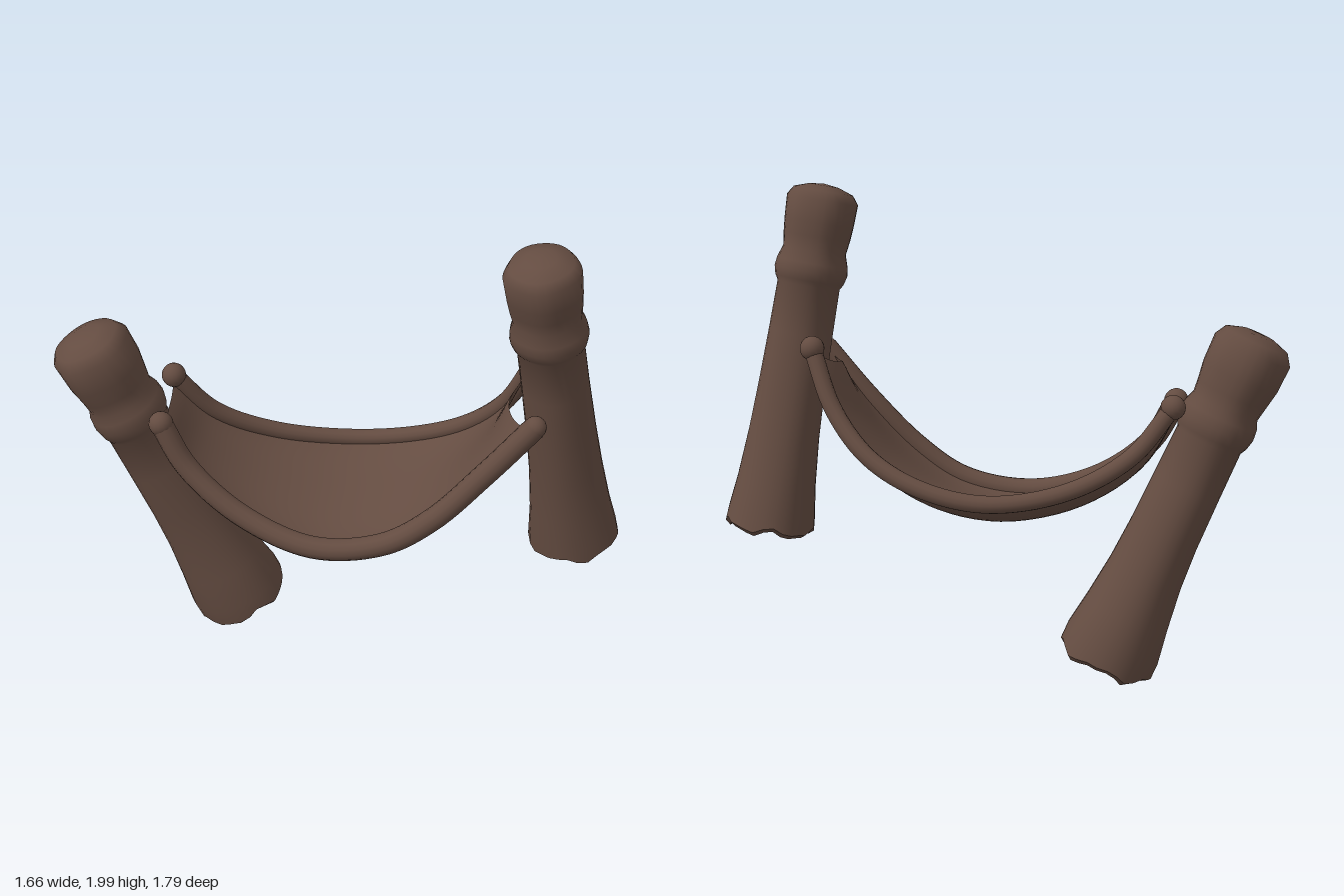
import * as THREE from 'three';
import { toCreasedNormals } from 'three/addons/utils/BufferGeometryUtils.js';
import { ParametricGeometry } from 'three/addons/geometries/ParametricGeometry.js';

const V = (a) => new THREE.Vector3(...a);
const brown = new THREE.MeshStandardMaterial({ color: 0x644c41 });
brown.name = 'darkBrown';

// Leaning post: lathe profile [height fraction, radius] with a ragged, hollow foot
function makePost(name, foot, top, profile, phase) {
  const a = V(foot), b = V(top);
  const length = a.distanceTo(b);
  const r0 = profile[0][1];
  const pts = [[0.032, 0], [0.028, r0 * 0.68], [0.012, r0 * 0.76], [0, r0 * 0.88], ...profile]
    .map(([t, r]) => new THREE.Vector2(r, t * length));
  const geo = new THREE.LatheGeometry(pts, 28);
  const pos = geo.attributes.position;
  for (let i = 0; i < pos.count; i++) {
    const x = pos.getX(i), y = pos.getY(i), z = pos.getZ(i);
    const ang = Math.atan2(z, x);
    const t = y / length;
    // carved, slightly uneven trunk; flutes show on the head
    const flute = t > 0.8 && t < 0.97 ? 0.025 : 0.01;
    const k = 1 + flute * Math.cos(5 * ang + phase) + 0.01 * Math.sin(3 * ang + 7 * t + phase);
    const rag = t < 0.02 ? 0.012 * Math.sin(5 * ang + phase) + 0.007 * Math.sin(9 * ang) : 0;
    pos.setXYZ(i, x * k, y + rag, z * k);
  }
  const mesh = new THREE.Mesh(toCreasedNormals(geo, 0.75), brown);
  mesh.name = name;
  mesh.position.copy(a);
  mesh.quaternion.setFromUnitVectors(new THREE.Vector3(0, 1, 0), b.sub(a).normalize());
  return mesh;
}

// Rolled hem with a rounded knob at both ends
function makeHem(name, curve, radius, knobs) {
  const hem = new THREE.Group();
  hem.name = name;
  const roll = new THREE.Mesh(new THREE.TubeGeometry(curve, 56, radius, 12), brown);
  roll.name = 'roll';
  hem.add(roll);
  knobs.forEach((r, end) => {
    const knob = new THREE.Mesh(new THREE.SphereGeometry(r, 16, 12), brown);
    knob.name = 'knob';
    knob.position.copy(curve.getPoint(end));
    hem.add(knob);
  });
  return hem;
}

export function createModel() {
  const group = new THREE.Group();
  group.name = 'hammock';

  // Posts
  group.add(makePost('shortPost', [-0.395, 0.087, 0.25], [-0.69, 1.45, 0.77], [
    [0.012, 0.203], [0.06, 0.203], [0.16, 0.18], [0.28, 0.158], [0.4, 0.147], [0.55, 0.142],
    [0.69, 0.138], [0.705, 0.15], [0.735, 0.16], [0.765, 0.155], [0.79, 0.14], [0.83, 0.148],
    [0.88, 0.16], [0.955, 0.163], [0.985, 0.135], [1, 0.07], [1.003, 0],
  ], 0.6));
  group.add(makePost('tallPost', [0.64, 0.575, -0.72], [0.667, 1.97, -0.393], [
    [0.012, 0.185], [0.05, 0.18], [0.14, 0.163], [0.28, 0.147], [0.42, 0.138], [0.58, 0.132],
    [0.72, 0.129], [0.735, 0.142], [0.76, 0.151], [0.785, 0.146], [0.82, 0.129], [0.86, 0.137],
    [0.9, 0.142], [0.965, 0.146], [0.99, 0.122], [1.005, 0.06], [1.01, 0],
  ], 2.4));

  // Hem curves, running from the short post to the tall post
  const front = new THREE.CatmullRomCurve3([
    [-0.38, 1.135, 0.625], [-0.29, 0.95, 0.57], [-0.09, 0.77, 0.45], [0.16, 0.678, 0.28],
    [0.36, 0.72, 0.085], [0.49, 0.85, -0.06], [0.61, 1.065, -0.225], [0.725, 1.285, -0.365],
  ].map(V));
  const back = new THREE.CatmullRomCurve3([
    [-0.59, 1.185, 0.42], [-0.52, 0.99, 0.27], [-0.405, 0.86, 0.045], [-0.225, 0.81, -0.215],
    [-0.02, 0.855, -0.4], [0.17, 0.96, -0.515], [0.34, 1.13, -0.57], [0.47, 1.36, -0.585],
  ].map(V));
  group.add(makeHem('frontHem', front, 0.046, [0.05, 0.044]));
  group.add(makeHem('backHem', back, 0.036, [0.05, 0.05]));

  // Sagging cloth: a full, closed section swept along both hems, wrapping the tall post
  const cloth = new ParametricGeometry((t, v, out) => {
    const upper = v <= 0.5;
    const w = upper ? v * 2 : 2 - v * 2;
    const s = (1 - Math.cos(Math.PI * w)) / 2;
    const arch = 4 * s * (1 - s);
    const flat = 1 - (2 * s - 1) ** 4;
    const taper = Math.max(Math.sin(Math.PI * t), 0) ** 0.3;
    const shell = Math.sqrt(Math.max(flat, 0)) * taper;
    const wrap = 0.095 * t ** 4 * arch;
    out.copy(front.getPoint(t)).lerp(back.getPoint(t), s);
    out.x -= wrap * 0.7;
    out.z += wrap * 0.7;
    out.y += -0.055 * flat + (upper ? 0.018 : -0.04) * shell;
  }, 40, 48);
  const sheet = new THREE.Mesh(toCreasedNormals(cloth, 1), brown);
  sheet.name = 'cloth';
  group.add(sheet);

  return group;
}
